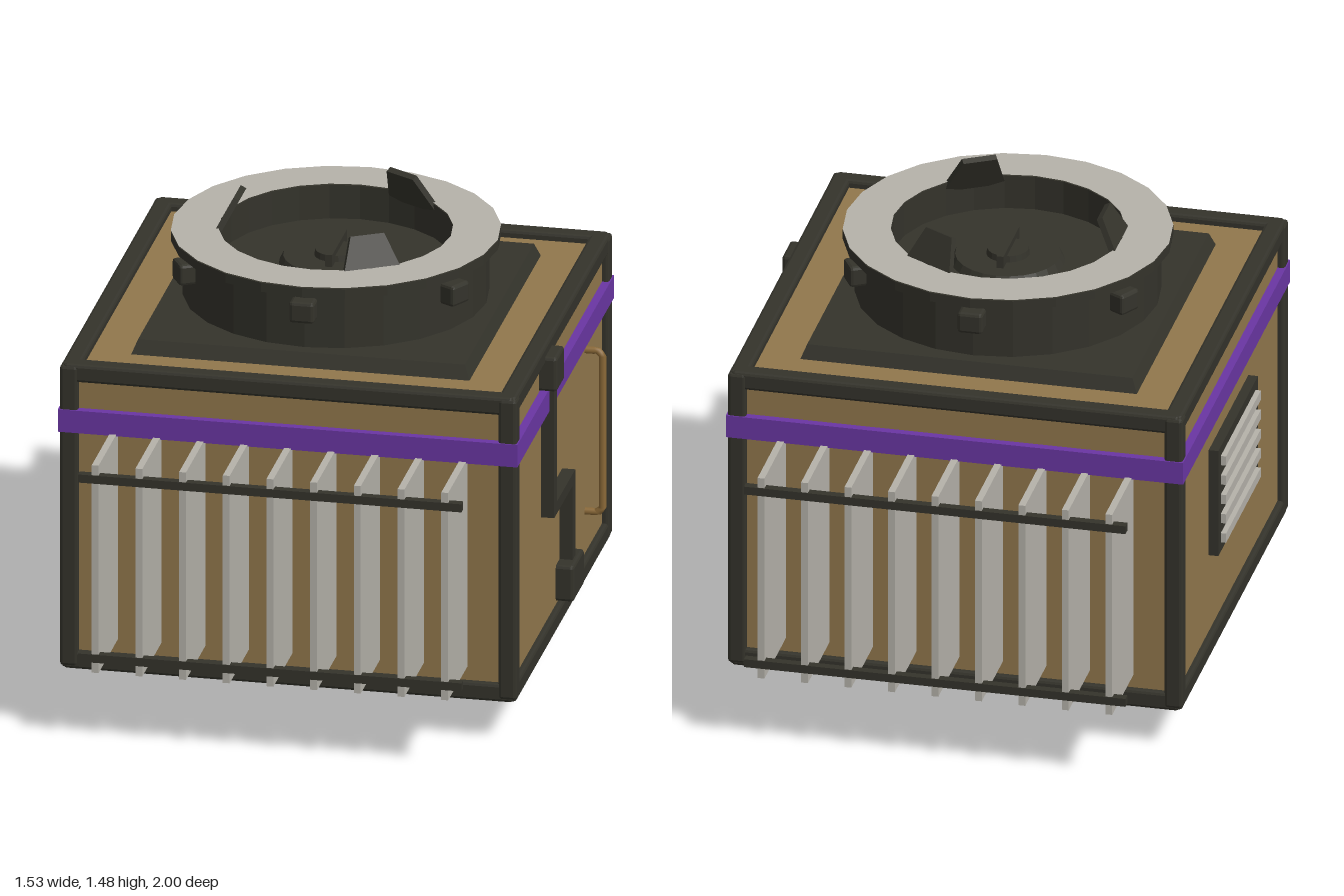
import * as THREE from 'three';
import { RoundedBoxGeometry } from 'three/addons/geometries/RoundedBoxGeometry.js';

const mat = (name, color, extra = {}) => {
  const m = new THREE.MeshStandardMaterial({ color, ...extra });
  m.name = name;
  return m;
};

export function createModel() {
  const tan = mat('tan panel', 0x91774c);
  const dark = mat('dark metal', 0x34332b, { flatShading: true });
  const purple = mat('purple band', 0x6a36a3);
  const grey = mat('light grey metal', 0xb5b2aa, { flatShading: true });
  const copper = mat('copper pipe', 0x8c6a38);

  const model = new THREE.Group();
  model.name = 'machine';
  const body = new THREE.Group();
  body.name = 'body';
  body.position.x = -0.0125;
  model.add(body);

  const add = (name, geo, material, x = 0, y = 0, z = 0, parent = body) => {
    const m = new THREE.Mesh(geo, material);
    m.name = name;
    m.position.set(x, y, z);
    parent.add(m);
    return m;
  };
  const box = (name, w, h, d, material, x, y, z, parent) =>
    add(name, new THREE.BoxGeometry(w, h, d), material, x, y, z, parent);
  const bevelBox = (name, w, h, d, material, x, y, z, parent) =>
    add(name, new RoundedBoxGeometry(w, h, d, 1, 0.01), material, x, y, z, parent);
  const cyl = (name, r1, r2, h, n, material, y) =>
    add(name, new THREE.CylinderGeometry(r1, r2, h, n), material, 0, y, 0);

  // Panelled case
  box('casePanels', 1.41, 0.975, 1.41, tan, 0, 0.6375, 0);
  box('purpleBand', 1.462, 0.075, 1.462, purple, 0, 0.9625, 0);

  // Frame of posts and beams
  for (const sx of [-1, 1]) {
    for (const sz of [-1, 1]) {
      bevelBox('cornerPost', 0.058, 1.005, 0.058, dark, sx * 0.698, 0.6425, sz * 0.698);
    }
    for (const y of [0.16, 1.12]) {
      bevelBox('sideBeam', 0.06, 0.06, 1.43, dark, sx * 0.694, y, 0);
      bevelBox('crossBeam', 1.43, 0.06, 0.06, dark, 0, y, sx * 0.694);
    }
  }

  // Cooling fins with their tie rods, front and back
  for (const s of [-1, 1]) {
    const fins = new THREE.Group();
    fins.name = s > 0 ? 'frontFins' : 'backFins';
    body.add(fins);
    for (let i = -4; i <= 4; i++) {
      box('fin', 0.022, 0.695, 0.3, grey, i * 0.139, 0.5825, s * 0.847, fins);
    }
    for (const y of [0.283, 0.883]) {
      box('tieRod', 1.22, 0.027, 0.027, dark, 0, y, s * 0.9865, fins);
    }
  }

  // Square base plate under the drum
  const plate = cyl('drumPlate', 0.52 * Math.SQRT2, 0.542 * Math.SQRT2, 0.055, 1, dark, 1.1425);
  plate.geometry = new THREE.CylinderGeometry(0.52 * Math.SQRT2, 0.542 * Math.SQRT2, 0.055, 4).rotateY(Math.PI / 4);

  // Hollow drum with a flange
  const profile = [[0.478, 1.16], [0.478, 1.35], [0.515, 1.352], [0.515, 1.382], [0.365, 1.382], [0.365, 1.27], [0, 1.27]];
  add('drum', new THREE.LatheGeometry(profile.map(p => new THREE.Vector2(...p)), 24), dark);
  add('flangeFace', new THREE.RingGeometry(0.365, 0.515, 24).rotateX(-Math.PI / 2).rotateY(Math.PI / 2), grey, 0, 1.386, 0);
  cyl('innerDisc', 0.165, 0.178, 0.025, 24, dark, 1.2825);
  cyl('hub', 0.065, 0.068, 0.02, 20, dark, 1.305);
  box('hubBar', 0.022, 0.04, 0.22, dark, 0, 1.315, 0);

  // Blocks around the drum
  for (let i = 0; i < 6; i++) {
    const a = (i * Math.PI) / 3;
    const b = bevelBox('drumBlock', 0.08, 0.07, 0.07, dark, Math.sin(a) * 0.49, 1.3, Math.cos(a) * 0.49);
    b.rotation.y = a;
  }

  // Three leaning tapered tabs on the inner rim
  const tabShape = new THREE.Shape([[-0.1, 0], [0.1, 0], [0.055, 0.135], [-0.055, 0.135]].map(p => new THREE.Vector2(...p)));
  const tabGeo = new THREE.ExtrudeGeometry(tabShape, { depth: 0.02, bevelEnabled: false });
  tabGeo.translate(0, 0, -0.01).rotateX(-0.48).translate(0, 1.355, 0.368);
  for (let i = 0; i < 3; i++) {
    add('rimTab', tabGeo, dark).rotation.y = -Math.PI / 2 + (i * Math.PI * 2) / 3;
  }

  // Boss and drive shaft underneath
  cyl('bossCollar', 0.122, 0.122, 0.045, 24, dark, 0.115);
  cyl('bossChamfer', 0.122, 0.11, 0.015, 24, dark, 0.085);
  cyl('driveShaft', 0.034, 0.034, 0.09, 10, grey, 0.045);

  // Conduit and its two junction boxes on the left side
  const conduit = new THREE.Group();
  conduit.name = 'conduit';
  body.add(conduit);
  bevelBox('upperJunctionBox', 0.07, 0.115, 0.117, dark, 0.727, 1.06, 0.223, conduit);
  bevelBox('lowerJunctionBox', 0.07, 0.12, 0.163, dark, 0.727, 0.26, -0.053, conduit);
  box('upperRun', 0.045, 0.46, 0.04, dark, 0.724, 0.8, 0.228, conduit);
  box('middleRun', 0.045, 0.04, 0.318, dark, 0.724, 0.588, 0.089, conduit);
  box('lowerRun', 0.045, 0.3, 0.04, dark, 0.724, 0.458, -0.05, conduit);

  // Bent pipe on the left side
  const bend = new THREE.CurvePath();
  const pts = [[0.69, 0.33], [0.745, 0.33], [0.76, 0.345], [0.76, 0.855], [0.745, 0.87], [0.69, 0.87]]
    .map(([x, y]) => new THREE.Vector3(x, y, -0.418));
  for (let i = 0; i < 5; i++) bend.add(new THREE.LineCurve3(pts[i], pts[i + 1]));
  add('sidePipe', new THREE.TubeGeometry(bend, 60, 0.012, 8), copper);

  // Louvred vent on the right side
  box('ventFrame', 0.04, 0.365, 0.54, dark, -0.716, 0.637, 0);
  for (let i = -2; i <= 2; i++) {
    box('ventSlat', 0.035, 0.032, 0.475, grey, -0.7355, 0.637 + i * 0.067, 0);
  }

  return model;
}
